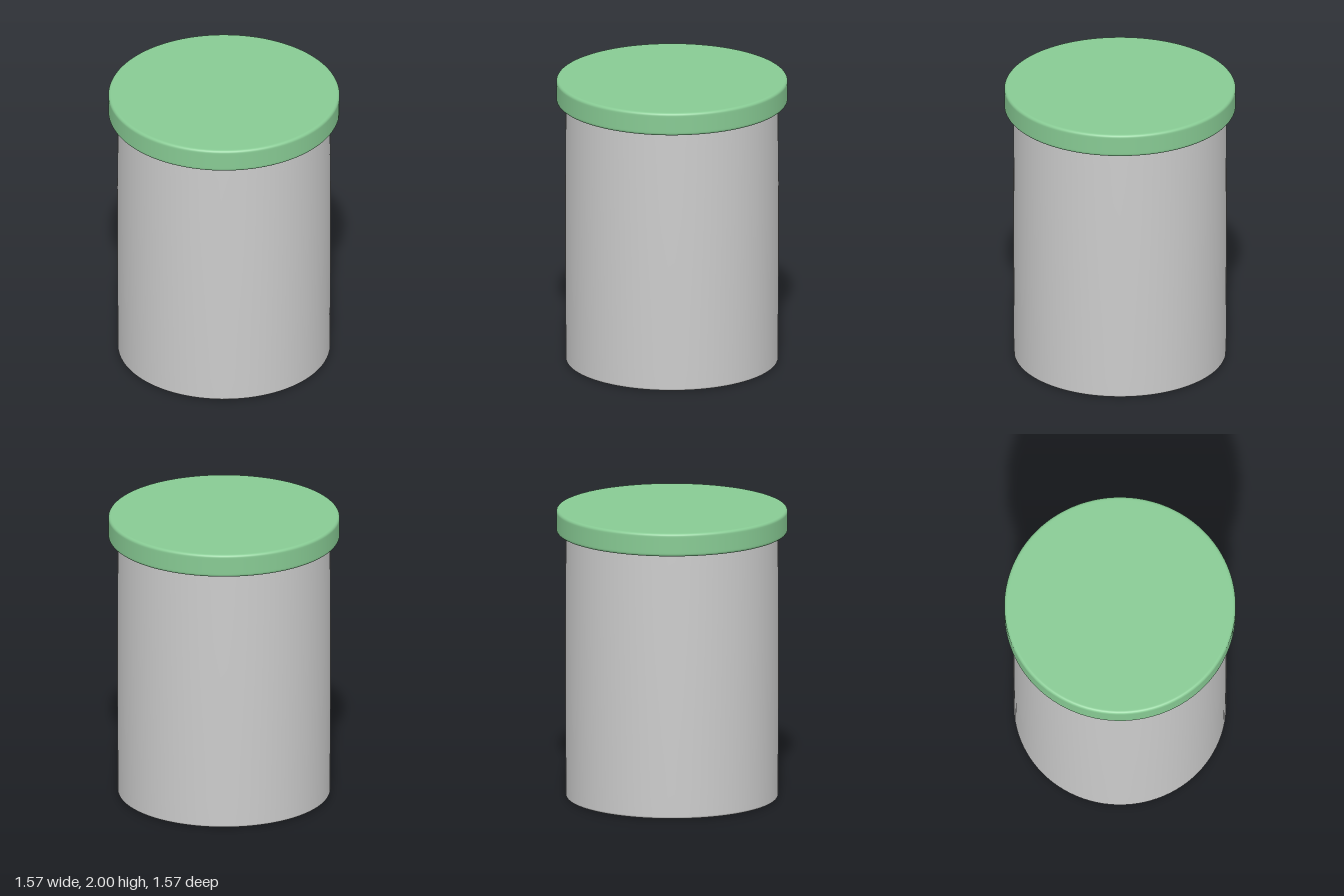
import * as THREE from 'three';

// Closed round solid with rounded edges and an optional slight bulge in the wall
function roundedDrum(radius, y0, y1, edge, bulge = 0) {
  const steps = 6, wall = 12;
  const pts = [new THREE.Vector2(0, y0), new THREE.Vector2(radius - edge - 0.01, y0)];
  for (let i = 0; i <= steps; i++) {
    const a = (i / steps) * Math.PI / 2;
    pts.push(new THREE.Vector2(radius - edge + edge * Math.sin(a), y0 + edge - edge * Math.cos(a)));
  }
  const h = y1 - y0 - 2 * edge;
  for (let i = 1; i < wall; i++) {
    const t = i / wall;
    pts.push(new THREE.Vector2(radius + bulge * Math.sin(t * Math.PI), y0 + edge + h * t));
  }
  for (let i = 0; i <= steps; i++) {
    const a = (i / steps) * Math.PI / 2;
    pts.push(new THREE.Vector2(radius - edge + edge * Math.cos(a), y1 - edge + edge * Math.sin(a)));
  }
  pts.push(new THREE.Vector2(radius - edge - 0.01, y1), new THREE.Vector2(0, y1));
  return new THREE.LatheGeometry(pts, 96);
}

export function createModel() {
  const model = new THREE.Group();
  model.name = 'jar';

  const add = (name, geometry, color) => {
    const mesh = new THREE.Mesh(geometry, new THREE.MeshStandardMaterial({ color }));
    mesh.name = name;
    model.add(mesh);
  };

  // Straight-sided container, its rim tucked inside the lid
  add('body', roundedDrum(0.722, 0, 1.9, 0.015, 0.004), 0xcccccc);
  // Wide flat lid
  add('lid', roundedDrum(0.786, 1.84, 2, 0.02), 0x87ca93);

  return model;
}
